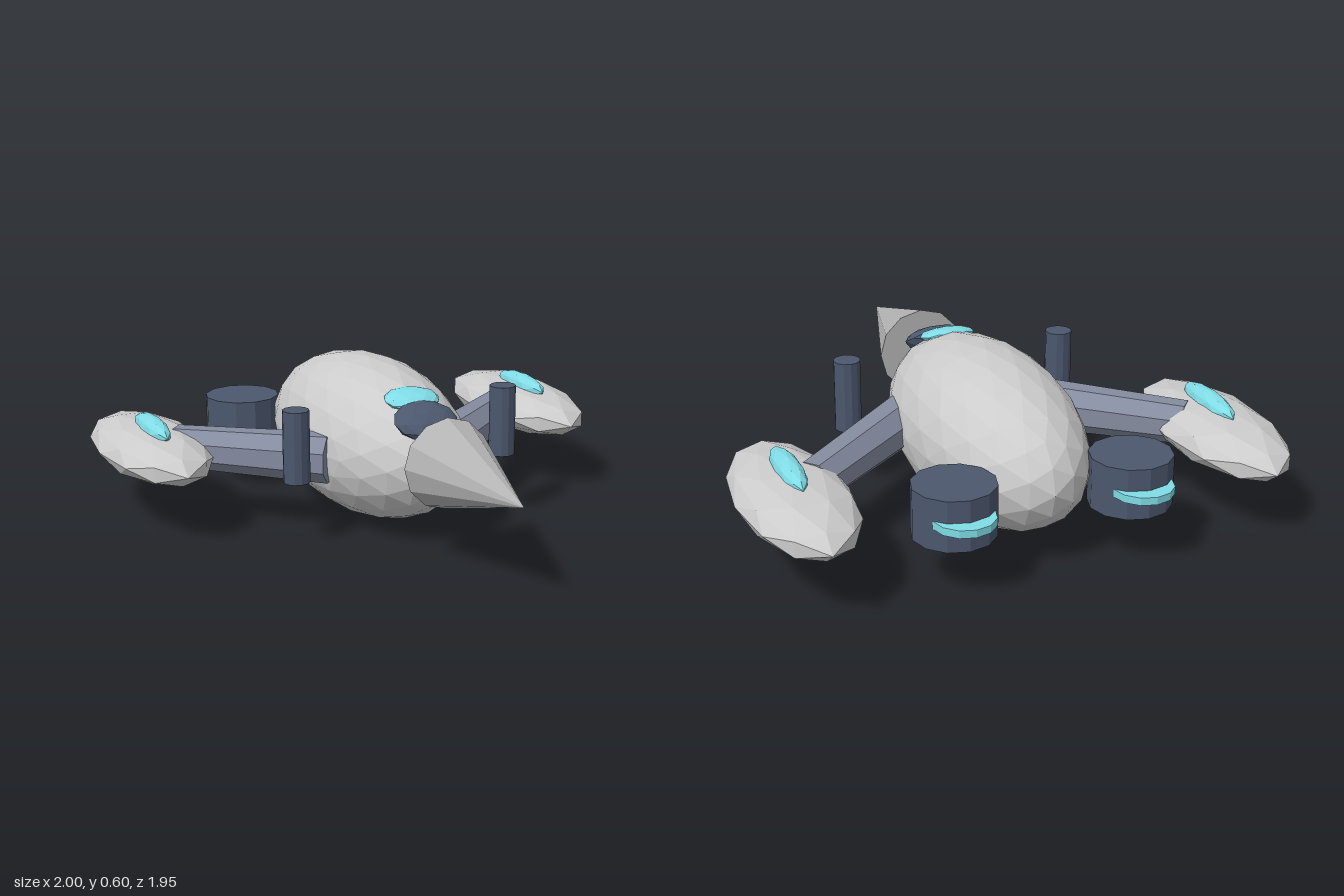
import * as THREE from 'three';

const material = (color) => new THREE.MeshStandardMaterial({ color, flatShading: true });

export function createModel() {
  const model = new THREE.Group();
  const hullGrey = material(0xcccccc);
  const coneGrey = material(0xb4b4b4);
  const strutGrey = material(0x858ca0);
  const darkBlue = material(0x4c586e);
  const cyan = material(0x80dce6);

  function add(name, geometry, mat, x, y, z) {
    const mesh = new THREE.Mesh(geometry, mat);
    mesh.name = name;
    mesh.position.set(x, y, z);
    model.add(mesh);
    return mesh;
  }

  // Faceted ellipsoid with the given radii
  const ellipsoid = (rx, ry, rz, detail) =>
    new THREE.IcosahedronGeometry(1, detail).scale(rx, ry, rz);

  // Hull and nose
  add('hull', ellipsoid(0.307, 0.302, 0.613, 3), hullGrey, 0, 0.304, -0.257);
  add('noseCone', new THREE.ConeGeometry(0.168, 0.55, 12).rotateX(Math.PI / 2),
    coneGrey, 0, 0.36, 0.695);

  // Cockpit window and the dark panel ahead of it, tilted to follow the hull
  add('cockpitWindow', ellipsoid(0.108, 0.03, 0.08, 1), cyan, 0, 0.529, 0.132).rotation.x = 0.25;
  add('cockpitPanel', ellipsoid(0.125, 0.045, 0.095, 1), darkBlue, 0, 0.474, 0.25).rotation.x = 0.55;

  for (const [side, s] of [['left', 1], ['right', -1]]) {
    // Outrigger pod with its canopy
    add(side + 'Pod', ellipsoid(0.2, 0.095, 0.45, 1), hullGrey, s * 0.8, 0.277, -0.506);
    add(side + 'PodCanopy', ellipsoid(0.046, 0.045, 0.178, 1), cyan, s * 0.8, 0.363, -0.465);

    // Swept, tapering eight-sided strut
    const inner = new THREE.Vector3(s * 0.25, 0.287, -0.045);
    const outer = new THREE.Vector3(s * 0.715, 0.287, -0.447);
    const strut = add(side + 'Strut',
      new THREE.CylinderGeometry(0.081, 0.097, inner.distanceTo(outer), 8)
        .rotateY(Math.PI / 8).rotateX(Math.PI / 2),
      strutGrey, ...inner.clone().add(outer).multiplyScalar(0.5).toArray());
    strut.lookAt(outer);

    // Rear engine drum with a glowing disc
    add(side + 'Engine', new THREE.CylinderGeometry(0.148, 0.148, 0.185, 12),
      darkBlue, s * 0.325, 0.278, -0.775);
    add(side + 'EngineGlow', new THREE.CylinderGeometry(0.11, 0.11, 0.028, 12),
      cyan, s * 0.325, 0.278, -0.868);

    // Upright gun post
    add(side + 'Post', new THREE.CylinderGeometry(0.05, 0.05, 0.27, 12),
      darkBlue, s * 0.424, 0.38, 0.051);
  }

  return model;
}
